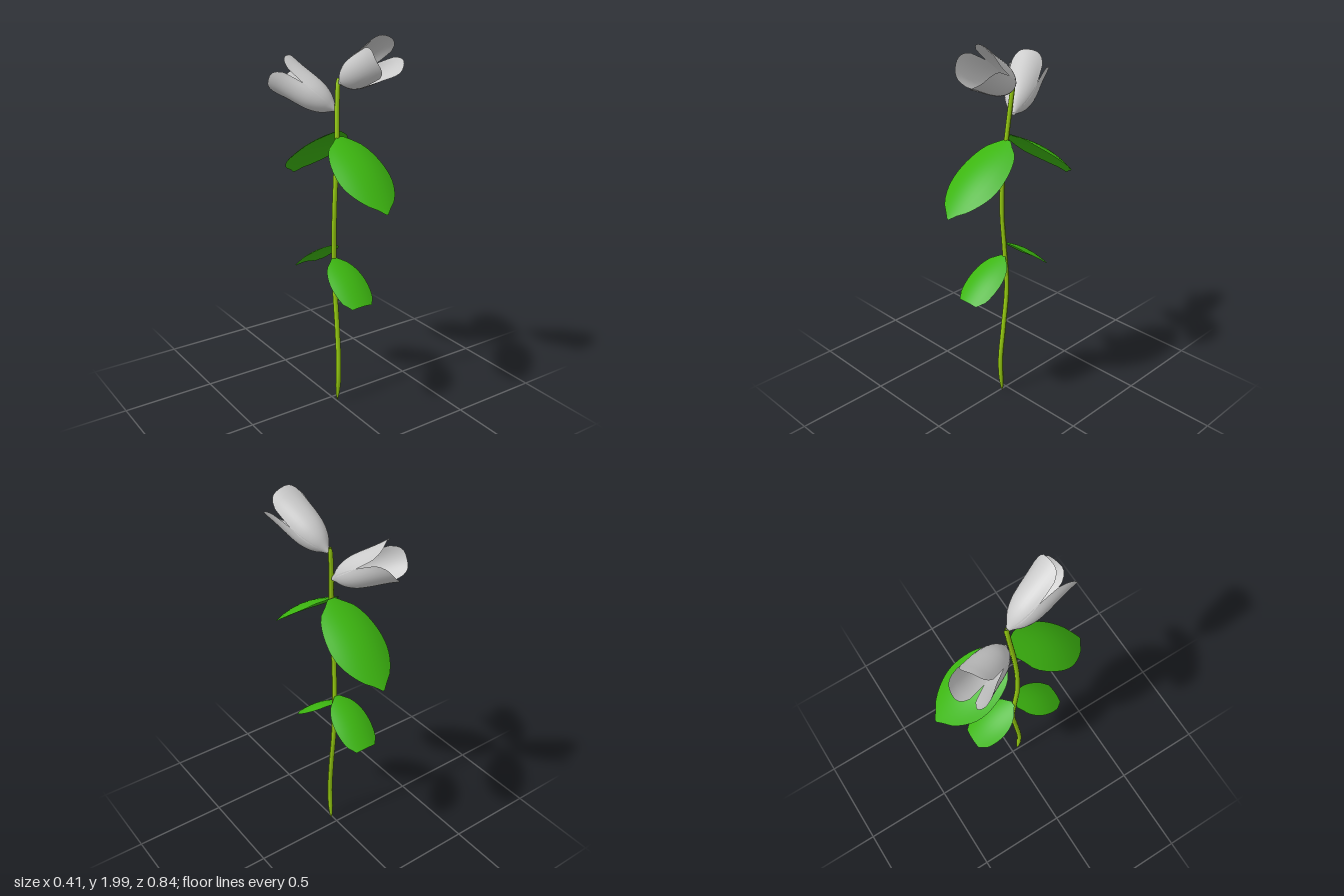
import * as THREE from 'three';

const mat = (color) => new THREE.MeshStandardMaterial({ color, side: THREE.DoubleSide });
const V = (x, y, z) => new THREE.Vector3(x, y, z);

// Smooth sheet from a rule: u runs 0..1 along, v runs -1..1 across
function sheet(rule, nu, nv) {
  const pos = [], idx = [];
  for (let i = 0; i <= nu; i++) {
    for (let j = 0; j <= nv; j++) {
      pos.push(...rule(i / nu, (j / nv) * 2 - 1).toArray());
      if (i < nu && j < nv) {
        const a = i * (nv + 1) + j, b = a + nv + 1;
        idx.push(a, b, a + 1, b, b + 1, a + 1);
      }
    }
  }
  const g = new THREE.BufferGeometry();
  g.setAttribute('position', new THREE.Float32BufferAttribute(pos, 3));
  g.setIndex(idx);
  g.computeVertexNormals();
  return g;
}

// Smooth profile through evenly spaced values
function profile(values) {
  const c = new THREE.SplineCurve(values.map((w, i) => new THREE.Vector2(i, w)));
  return (u) => Math.max(0, c.getPoint(u).y);
}

// Gently arched leaf from base to tip, its edges hanging below the midrib
function leaf(name, base, tip, widths, bow, droop, material) {
  const width = profile(widths), max = Math.max(...widths);
  const side = V(tip.z > base.z ? 1 : -1, 0, 0);
  const dir = tip.clone().sub(base).normalize();
  const up = dir.clone().cross(side).normalize();
  const g = sheet((u, v) => {
    const w = width(u);
    const lift = bow * Math.sin(Math.PI * u) - droop * (v * w / max) ** 2;
    return base.clone().lerp(tip, u).addScaledVector(side, v * w).addScaledVector(up, lift);
  }, 16, 10);
  const mesh = new THREE.Mesh(g, material);
  mesh.name = name;
  return mesh;
}

// Three-petalled bell along +y with a round yellow centre near its base
function flower(name, base, mouth, roll, petalMat, centreMat) {
  const group = new THREE.Group();
  group.name = name;
  const length = base.distanceTo(mouth);
  const radius = profile([0.008, 0.05, 0.073, 0.082, 0.086, 0.09, 0.096]);
  const geo = sheet((u, v) => {
    const angle = v * 1.15 * (1 - 0.22 * u * u);
    const t = u * (1.02 - 0.16 * v ** 4);
    const r = radius(t) * (1 + 0.1 * v * v * u);
    return V(r * Math.sin(angle), t * length, r * Math.cos(angle));
  }, 16, 12);
  for (let i = 0; i < 3; i++) {
    const petal = new THREE.Mesh(geo, petalMat);
    petal.name = 'petal';
    petal.rotation.y = roll + (i * Math.PI * 2) / 3;
    group.add(petal);
  }
  const centre = new THREE.Mesh(new THREE.SphereGeometry(0.032, 16, 12), centreMat);
  centre.name = 'flowerCentre';
  centre.position.y = 0.06;
  group.add(centre);

  // Orient so the first petal lies on the upper side
  const y = mouth.clone().sub(base).normalize();
  const x = y.clone().cross(V(0, 1, 0)).normalize();
  const z = x.clone().cross(y);
  group.quaternion.setFromRotationMatrix(new THREE.Matrix4().makeBasis(x, y, z));
  group.position.copy(base);
  return group;
}

export function createModel() {
  const root = new THREE.Group();
  root.name = 'floweringStem';
  const green = mat(0x3cb510), stemGreen = mat(0x96cc10);
  const grey = mat(0xcccccc), yellow = mat(0xe6c010);

  // Wavy stem, tapered to a point at the foot
  const path = new THREE.CatmullRomCurve3([
    V(0.01, 0, 0.04), V(0.01, 0.2, 0.052), V(0.014, 0.42, 0.032), V(0.014, 0.65, 0.008),
    V(0.003, 0.88, 0.014), V(-0.002, 1.08, 0.026), V(0.005, 1.28, 0.027),
    V(0.02, 1.48, 0.016), V(0.03, 1.63, 0.002), V(0.042, 1.76, -0.008),
  ]);
  const seg = 60, sides = 10;
  const tube = new THREE.TubeGeometry(path, seg, 0.014, sides);
  const p = tube.attributes.position, q = new THREE.Vector3();
  for (let i = 0; i <= seg; i++) {
    const u = i / seg, c = path.getPointAt(u);
    const k = Math.min(1, 0.1 + Math.sqrt(u / 0.07)) * (u > 0.99 ? 0.5 : 1 - 0.15 * u);
    for (let j = 0; j <= sides; j++) {
      const n = i * (sides + 1) + j;
      q.fromBufferAttribute(p, n).sub(c).multiplyScalar(k).add(c);
      p.setXYZ(n, q.x, q.y, q.z);
    }
  }
  tube.computeVertexNormals();
  const stem = new THREE.Mesh(tube, stemGreen);
  stem.name = 'stem';
  root.add(stem);

  // Two pairs of leaves
  const big = [0.02, 0.095, 0.128, 0.144, 0.15, 0.143, 0.118, 0.075, 0.005];
  const small = [0.015, 0.06, 0.085, 0.098, 0.104, 0.104, 0.099, 0.088, 0.06];
  root.add(
    leaf('upperFrontLeaf', V(0.032, 1.475, 0.02), V(0.032, 1.18, 0.42), big, 0.036, 0.04, green),
    leaf('upperBackLeaf', V(0.04, 1.495, -0.01), V(0.035, 1.19, -0.42), big, 0.036, 0.04, green),
    leaf('lowerFrontLeaf', V(0, 0.835, 0.02), V(0, 0.66, 0.28), small, 0.018, 0.025, green),
    leaf('lowerBackLeaf', V(0, 0.9, 0), V(0, 0.72, -0.26), small, 0.018, 0.025, green),
  );

  // Two flowers facing opposite ways
  root.add(
    flower('frontFlower', V(0.045, 1.735, 0), V(0.105, 1.9, 0.3), -0.35, grey, yellow),
    flower('backFlower', V(0.035, 1.6, -0.015), V(-0.115, 1.765, -0.285), 0.1, grey, yellow),
  );
  return root;
}
